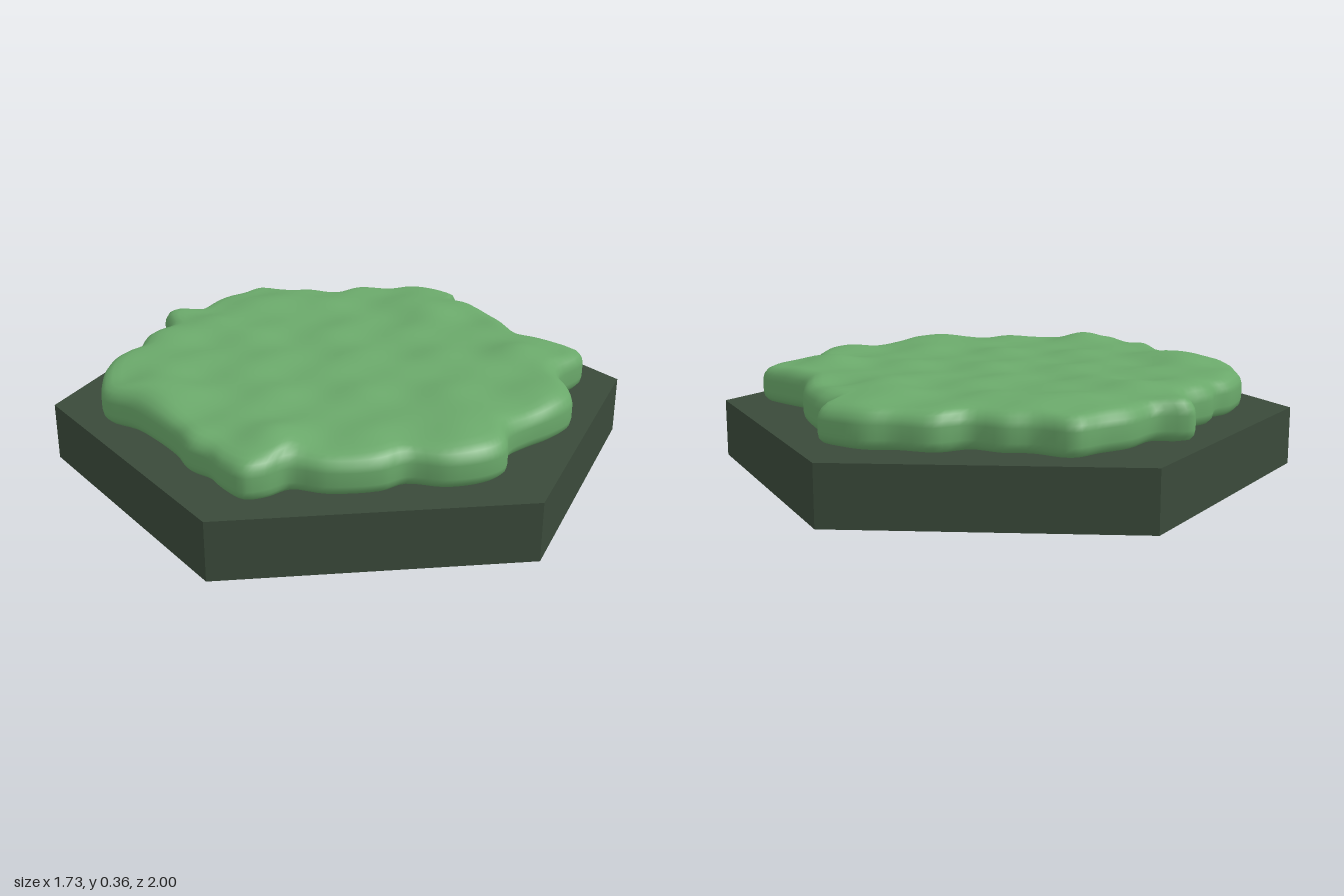
import * as THREE from 'three';

// Ragged outline of the grass slab as x, z pairs, clockwise seen from above
const OUTLINE = [
  0.03, -0.845, 0.13, -0.83, 0.15, -0.76, 0.245, -0.72, 0.375, -0.625, 0.5, -0.495,
  0.61, -0.47, 0.735, -0.44, 0.76, -0.37, 0.72, -0.235, 0.735, -0.17, 0.785, -0.1,
  0.815, 0, 0.785, 0.1, 0.73, 0.2, 0.695, 0.29, 0.715, 0.4, 0.68, 0.475,
  0.585, 0.55, 0.465, 0.58, 0.41, 0.655, 0.27, 0.735, 0.155, 0.755, 0.11, 0.825,
  0.055, 0.865, -0.03, 0.835, -0.1, 0.79, -0.18, 0.77, -0.26, 0.705, -0.39, 0.63,
  -0.5, 0.58, -0.615, 0.56, -0.68, 0.48, -0.735, 0.37, -0.755, 0.24, -0.735, 0.16,
  -0.76, 0.07, -0.735, -0.05, -0.815, -0.175, -0.725, -0.25, -0.71, -0.38, -0.665, -0.48,
  -0.625, -0.575, -0.5, -0.595, -0.42, -0.64, -0.31, -0.66, -0.245, -0.75, -0.125, -0.79,
  -0.05, -0.835,
];

// Rounded edge from the underside up to the top: [inset, height]
const EDGE = [[0.05, 0.2], [0.018, 0.208], [0.004, 0.222], [0, 0.24], [0, 0.285],
  [0.005, 0.303], [0.018, 0.32], [0.04, 0.332]];

// Higher mounds on the top: x, z
const MOUNDS = [[0.07, 0.68], [-0.45, 0.5], [0.53, -0.27], [-0.42, -0.42], [0.12, -0.57], [-0.57, -0.1], [0.5, 0.3]];

// Gentle lumps of the grass surface
function lumps(x, z) {
  let h = 0.007 * Math.sin(13 * x + 5 * z + 1) * Math.cos(15 * z - 4 * x)
    + 0.005 * Math.sin(21 * x - 9 * z) * Math.sin(17 * z + 8 * x + 2);
  for (const [mx, mz] of MOUNDS) {
    h += 0.02 * Math.exp(-((x - mx) ** 2 + (z - mz) ** 2) / 0.012);
  }
  return h;
}

function grassGeometry() {
  const points = [];
  for (let i = 0; i < OUTLINE.length; i += 2) {
    points.push(new THREE.Vector3(OUTLINE[i], 0, OUTLINE[i + 1]));
  }
  const n = points.length * 4;
  const rim = new THREE.CatmullRomCurve3(points, true, 'centripetal').getPoints(n).slice(0, n);
  const positions = [], index = [];
  let rings = 0;

  // One ring of the outline, shrunk toward the centre
  const addRing = (scale, inset, y, bump) => {
    for (const p of rim) {
      const s = scale * (1 - inset / p.length());
      const x = p.x * s, z = p.z * s;
      positions.push(x, y + bump * lumps(x, z), z);
    }
    rings++;
  };

  addRing(0, 0, 0.2, 0);
  EDGE.forEach(([inset, y], i) => addRing(1, inset, y, Math.max(0, i - 3) / 5));
  const steps = 26;
  for (let k = 1; k <= steps; k++) addRing(1 - k / steps, 0.04, 0.335, 1);

  for (let k = 0; k < rings - 1; k++) {
    for (let i = 0; i < n; i++) {
      const j = (i + 1) % n;
      const a = k * n + i, b = k * n + j, c = a + n, d = b + n;
      if (k > 0) index.push(a, c, b);
      if (k < rings - 2) index.push(b, c, d);
    }
  }
  const geometry = new THREE.BufferGeometry();
  geometry.setAttribute('position', new THREE.Float32BufferAttribute(positions, 3));
  geometry.setIndex(index);
  geometry.computeVertexNormals();
  return geometry;
}

export function createModel() {
  const group = new THREE.Group();
  group.name = 'grassTile';

  // Six-sided base with a corner toward the front
  const base = new THREE.Mesh(
    new THREE.CylinderGeometry(1, 1, 0.2, 6),
    new THREE.MeshStandardMaterial({ color: 0x3a4a3a, flatShading: true }),
  );
  base.name = 'hexBase';
  base.position.y = 0.1;

  // Lumpy slab of grass on the base
  const grass = new THREE.Mesh(grassGeometry(), new THREE.MeshStandardMaterial({ color: 0x6aa86a }));
  grass.name = 'grassSlab';

  group.add(base, grass);
  return group;
}
